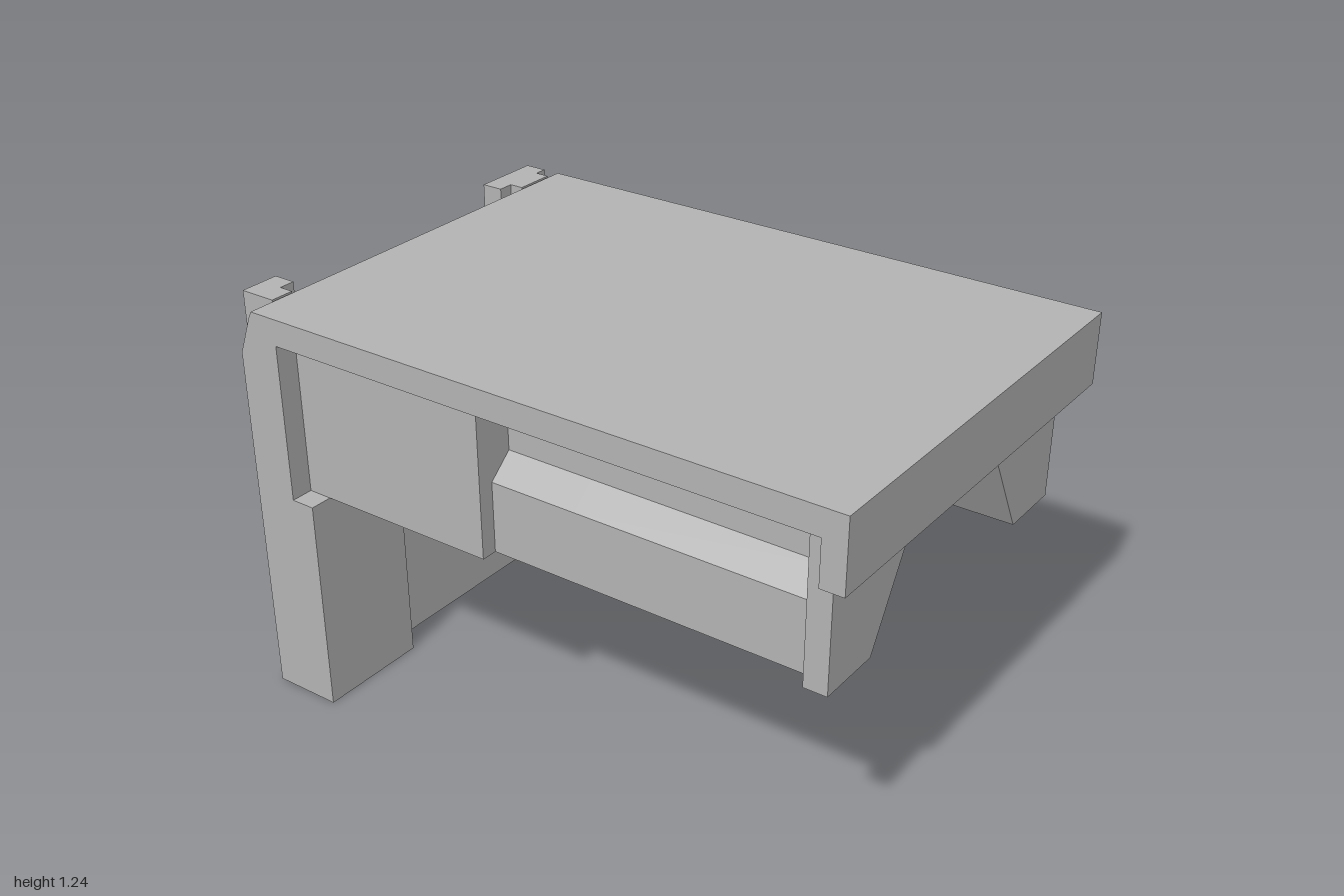
import * as THREE from 'three';
import { toCreasedNormals } from 'three/addons/utils/BufferGeometryUtils.js';

const grey = new THREE.MeshStandardMaterial({ color: 0xb4b4b4 });
grey.name = 'plainGrey';

const toShape = (points) => new THREE.Shape(points.map(([x, y]) => new THREE.Vector2(x, y)));

// Points of a circular arc, angles in degrees
function arc(cy, r, from, to, steps = 48) {
  return Array.from({ length: steps + 1 }, (_, i) => {
    const a = THREE.MathUtils.degToRad(from + ((to - from) * i) / steps);
    return [r * Math.cos(a), cy + r * Math.sin(a)];
  });
}

export function createModel() {
  const model = new THREE.Group();
  model.name = 'bracket';

  function add(name, geometry) {
    const mesh = new THREE.Mesh(toCreasedNormals(geometry, 0.4), grey);
    mesh.name = name;
    model.add(mesh);
  }

  // Extrude an x-y outline between two z positions
  function alongZ(name, shape, z0, z1) {
    const g = new THREE.ExtrudeGeometry(shape, { depth: z1 - z0, bevelEnabled: false });
    add(name, g.translate(0, 0, z0));
  }

  // Extrude a z-y outline between two x positions
  function alongX(name, points, x0, x1) {
    const g = new THREE.ExtrudeGeometry(toShape(points), { depth: x1 - x0, bevelEnabled: false });
    add(name, g.rotateY(-Math.PI / 2).translate(x1, 0, 0));
  }

  function box(name, x0, x1, y0, y1, z0, z1) {
    const g = new THREE.BoxGeometry(x1 - x0, y1 - y0, z1 - z0);
    add(name, g.translate((x0 + x1) / 2, (y0 + y1) / 2, (z0 + z1) / 2));
  }

  // Top slab with a front lip and a slightly bevelled back edge
  alongX('topSlab', [
    [1, 1.235], [-0.875, 1.235], [-0.885, 1.215], [-0.885, 1.155],
    [0.93, 1.155], [0.93, 1.02], [1, 1.02],
  ], -0.67, 0.67);

  // Back wall with a teardrop hole pointing down
  const wall = toShape([[-0.67, 0], [0.67, 0], [0.67, 1.155], [-0.67, 1.155]]);
  const hole = [...arc(0.66, 0.23, -53.8, 233.8, 64), [0, 0.375]];
  wall.holes.push(new THREE.Path(hole.map(([x, y]) => new THREE.Vector2(x, y))));
  alongZ('backWall', wall, -0.885, -0.79);

  // Thicker panel low on one side of the wall
  box('wallPad', -0.67, -0.315, 0, 0.675, -0.79, -0.715);

  // Body under the slab, in slices: outer side profile plus tunnel profile
  const base = 0.675;
  const full = [[0.6, 1.155], [0.6, base]];
  const recessed = [[0.475, 1.155], [0.475, 0.955], [0.55, 0.89], [0.55, base]];
  const trapezoid = [
    [0.395, base], [0.21, 1.0], [0.185, 1.018], [-0.185, 1.018], [-0.21, 1.0], [-0.395, base],
  ];
  const archWide = arc(base, 0.31, 0, 180);
  const archNarrow = arc(base, 0.235, 0, 180);
  const slices = [
    ['frontRib', full, trapezoid, 0.86, 0.93],
    ['recessedRail', recessed, trapezoid, 0.13, 0.86],
    ['recessedArch', recessed, archWide, -0.145, 0.13],
    ['rearBlock', full, archWide, -0.715, -0.145],
    ['rearCollar', full, archNarrow, -0.79, -0.715],
  ];
  for (const [name, side, tunnel, z0, z1] of slices) {
    const mirrored = side.map(([x, y]) => [-x, y]).reverse();
    alongZ(name, toShape([...side, ...tunnel, ...mirrored]), z0, z1);
  }

  // Left rail on the back: T-shaped section
  alongZ('leftRailNeck', toShape([[0.5, 0], [0.63, 0], [0.63, 1.235], [0.5, 1.235]]), -0.93, -0.885);
  box('leftRailHead', 0.45, 0.67, 0, 1.235, -1, -0.93);

  // Right rail on the back: L-shaped section beside a sloped-top strip
  box('rightRailNeck', -0.58, -0.505, 0, 1.235, -0.93, -0.885);
  box('rightRailHead', -0.58, -0.455, 0, 1.235, -1, -0.93);
  alongX('cornerStrip', [[-0.885, 0], [-0.885, 1.215], [-0.93, 1.1], [-0.93, 0]], -0.67, -0.58);

  return model;
}
